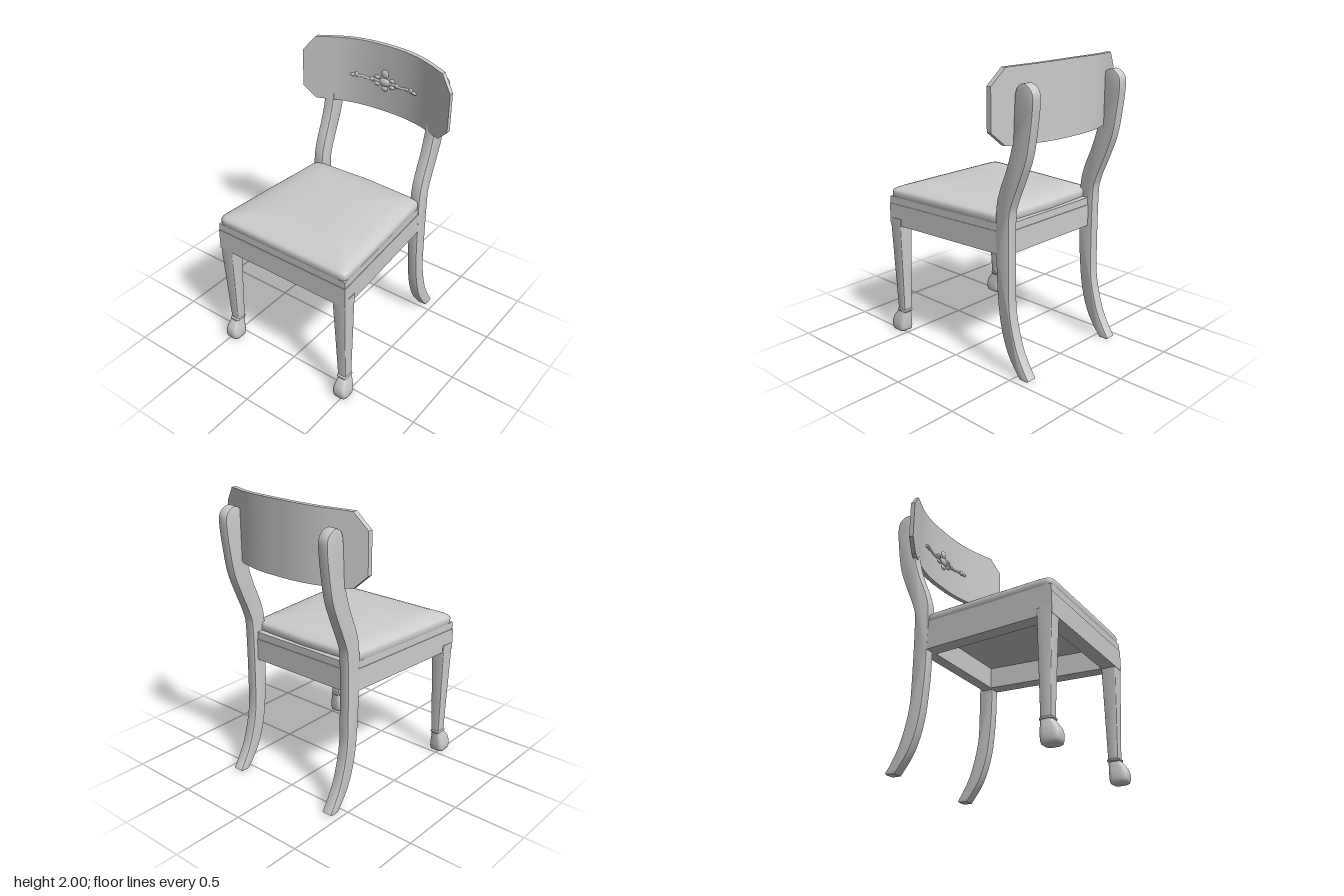
import * as THREE from 'three';
import { toCreasedNormals } from 'three/addons/utils/BufferGeometryUtils.js';

const material = new THREE.MeshStandardMaterial({ color: 0xcccccc });

function mesh(name, geometry, parent) {
  const m = new THREE.Mesh(geometry, material);
  m.name = name;
  parent.add(m);
  return m;
}

// Half width of the tapering seat at depth z
const seatHalf = (z) => 0.45 + (z + 0.34) * 0.077;

// Loft through rounded-rectangle sections [y, centreX, centreZ, halfX, halfZ]; p sets corner squareness
function loft(sections, p, warp = (v) => v, crease = 0.6) {
  const n = 32, pos = [], idx = [];
  const se = (c) => Math.sign(c) * Math.abs(c) ** (2 / p);
  const add = (x, y, z) => pos.push(...warp([x, y, z]));
  for (const [y, cx, cz, hx, hz] of sections)
    for (let i = 0; i < n; i++) {
      const t = (i / n) * Math.PI * 2;
      add(cx + hx * se(Math.cos(t)), y, cz + hz * se(Math.sin(t)));
    }
  const last = sections.length - 1, bottom = sections.length * n, top = bottom + 1;
  add(sections[0][1], sections[0][0], sections[0][2]);
  add(sections[last][1], sections[last][0], sections[last][2]);
  for (let i = 0; i < n; i++) {
    const k = (i + 1) % n;
    for (let j = 0; j < last; j++) {
      const a = j * n + i, b = j * n + k;
      idx.push(a, a + n, b, b, a + n, b + n);
    }
    idx.push(bottom, i, k, top, last * n + k, last * n + i);
  }
  const g = new THREE.BufferGeometry();
  g.setAttribute('position', new THREE.Float32BufferAttribute(pos, 3));
  g.setIndex(idx);
  return toCreasedNormals(g, crease);
}

// Trapezoid outline in plan, inset from the seat edge
function seatOutline(Type, inset, front, back) {
  const f = seatHalf(front) - inset, b = seatHalf(back) - inset;
  return new Type([[f, front], [-f, front], [-b, back], [b, back]].map((q) => new THREE.Vector2(...q)));
}

function slab(shape, top, depth) {
  return new THREE.ExtrudeGeometry(shape, { depth, bevelEnabled: false })
    .rotateX(Math.PI / 2).translate(0, top, 0);
}

// Centre line of the curved back panel in plan
function panelZ(x) {
  const a = Math.abs(x);
  return -0.563 + (a < 0.4 ? 0.073 * (a / 0.4) ** 2.5 : 0.073 + (a - 0.4) * 0.42);
}

function seat(group) {
  const frame = seatOutline(THREE.Shape, 0, 0.61, -0.41);
  frame.holes.push(seatOutline(THREE.Path, 0.1, 0.51, -0.33));
  mesh('apron', slab(frame, 0.95, 0.15), group);
  mesh('seatRim', slab(seatOutline(THREE.Shape, 0.004, 0.606, -0.405), 1.0, 0.05), group);

  // Domed cushion: square rings shrinking upwards, then tapered with the seat
  const rings = [[0.995, 0.99], [1.005, 1], [1.035, 1], [1.048, 0.99], [1.057, 0.965], [1.067, 0.92],
    [1.081, 0.83], [1.09, 0.7], [1.097, 0.5], [1.1, 0.3], [1.101, 0.08]];
  const cushion = loft(rings.map(([y, s]) => [y, 0, 0.115, s, 0.495 * s]), 22, ([x, y, z]) => {
    const bow = z < -0.3 ? 0.02 * x * x : 0;
    return [x * seatHalf(z), y, z + bow];
  }, 0.7);
  mesh('cushion', cushion, group);
}

function frontLeg(side, group) {
  const leg = new THREE.Group();
  leg.name = side > 0 ? 'frontLegLeft' : 'frontLegRight';
  const section = ([y, x0, x1, z0, z1]) => [y, side * (x0 + x1) / 2, (z0 + z1) / 2, (x1 - x0) / 2, (z1 - z0) / 2];
  mesh('post', loft([
    [0.13, 0.447, 0.508, 0.51, 0.578], [0.4, 0.438, 0.514, 0.508, 0.59],
    [0.77, 0.424, 0.522, 0.505, 0.607], [0.85, 0.42, 0.523, 0.503, 0.609],
  ].map(section), 14), leg);
  mesh('ankleRing', loft([
    [0.148, 0.446, 0.512, 0.506, 0.584], [0.155, 0.44, 0.517, 0.5, 0.592],
    [0.164, 0.44, 0.517, 0.5, 0.592], [0.171, 0.446, 0.51, 0.506, 0.582],
  ].map(section), 5), leg);
  mesh('foot', loft([
    [0, 0.446, 0.522, 0.528, 0.614], [0.008, 0.434, 0.534, 0.515, 0.626], [0.03, 0.43, 0.539, 0.51, 0.634],
    [0.065, 0.432, 0.537, 0.508, 0.636], [0.1, 0.438, 0.53, 0.507, 0.626],
    [0.13, 0.444, 0.522, 0.506, 0.603], [0.16, 0.448, 0.513, 0.508, 0.582],
  ].map(section), 4, undefined, 1), leg);
  group.add(leg);
}

function backLeg(side, group) {
  const points = (list) => list.map((q) => new THREE.Vector2(...q));
  // Side outline in (z, y): front edge upwards over the rounded top, back edge down
  const edge = new THREE.SplineCurve(points([
    [-0.54, 0], [-0.44, 0.14], [-0.375, 0.33], [-0.345, 0.58], [-0.338, 0.8], [-0.335, 1.06], [-0.36, 1.2],
    [-0.43, 1.38], [-0.475, 1.55], [-0.487, 1.72], [-0.494, 1.83], [-0.525, 1.882], [-0.575, 1.888],
    [-0.622, 1.85], [-0.632, 1.78], [-0.615, 1.62], [-0.585, 1.45], [-0.53, 1.3], [-0.465, 1.14],
    [-0.445, 1.02], [-0.445, 0.6], [-0.457, 0.4], [-0.51, 0.2], [-0.57, 0.08], [-0.615, 0.012],
  ]));
  const shape = new THREE.Shape([...edge.getPoints(96), new THREE.Vector2(-0.6, 0)]);
  const g = new THREE.ExtrudeGeometry(shape, {
    depth: 0.058, bevelThickness: 0.008, bevelSize: 0.008, bevelOffset: -0.008, bevelSegments: 2,
  }).rotateY(-Math.PI / 2).translate(side * 0.416 + 0.029, 0, 0);
  mesh(side > 0 ? 'backLegLeft' : 'backLegRight', toCreasedNormals(g, 0.5), group);
}

function backPanel(group) {
  // Box columns bent along the curve; the end columns form the clipped corners
  const inner = 28, g = new THREE.BoxGeometry(inner + 2, 1, 1, inner + 2, 1, 1);
  const p = g.attributes.position;
  for (let i = 0; i < p.count; i++) {
    const c = p.getX(i), end = Math.abs(c) > inner / 2 + 0.5;
    const x = end ? Math.sign(c) * 0.585 : (c / inner) * 1.0;
    const y = p.getY(i) > 0 ? (end ? 1.875 : 2 - 0.08 * x * x) : (end ? 1.605 : 1.52);
    p.setXYZ(i, x, y, panelZ(x) + p.getZ(i) * 0.034);
  }
  mesh('backPanel', toCreasedNormals(g, 0.4), group);
}

// Low carved relief: a central rosette with a stem and leaf buds on each side
function carving(group) {
  const relief = new THREE.Group();
  relief.name = 'carving';
  const bud = (x, y, rx, ry, rz = 0.012) => {
    const m = mesh('bud', new THREE.SphereGeometry(1, 16, 10), relief);
    m.scale.set(rx, ry, rz);
    m.position.set(x, y, panelZ(x) + 0.017);
  };
  bud(0, 1.735, 0.045, 0.03, 0.018);
  bud(0, 1.795, 0.03, 0.03);
  bud(0, 1.69, 0.025, 0.02);
  for (const s of [-1, 1]) {
    const path = [0.03, 0.08, 0.13, 0.18, 0.23].map((x, i) =>
      new THREE.Vector3(s * x, 1.735 + (i % 2 ? 0.004 : -0.004), panelZ(x) + 0.018));
    mesh('stem', new THREE.TubeGeometry(new THREE.CatmullRomCurve3(path), 24, 0.009, 8), relief);
    bud(s * 0.06, 1.76, 0.022, 0.014);
    bud(s * 0.06, 1.712, 0.022, 0.014);
    bud(s * 0.1, 1.735, 0.016, 0.016);
    bud(s * 0.22, 1.742, 0.016, 0.02);
    bud(s * 0.25, 1.735, 0.02, 0.012);
  }
  group.add(relief);
}

export function createModel() {
  const chair = new THREE.Group();
  chair.name = 'chair';
  seat(chair);
  for (const side of [-1, 1]) {
    frontLeg(side, chair);
    backLeg(side, chair);
  }
  backPanel(chair);
  carving(chair);
  return chair;
}
